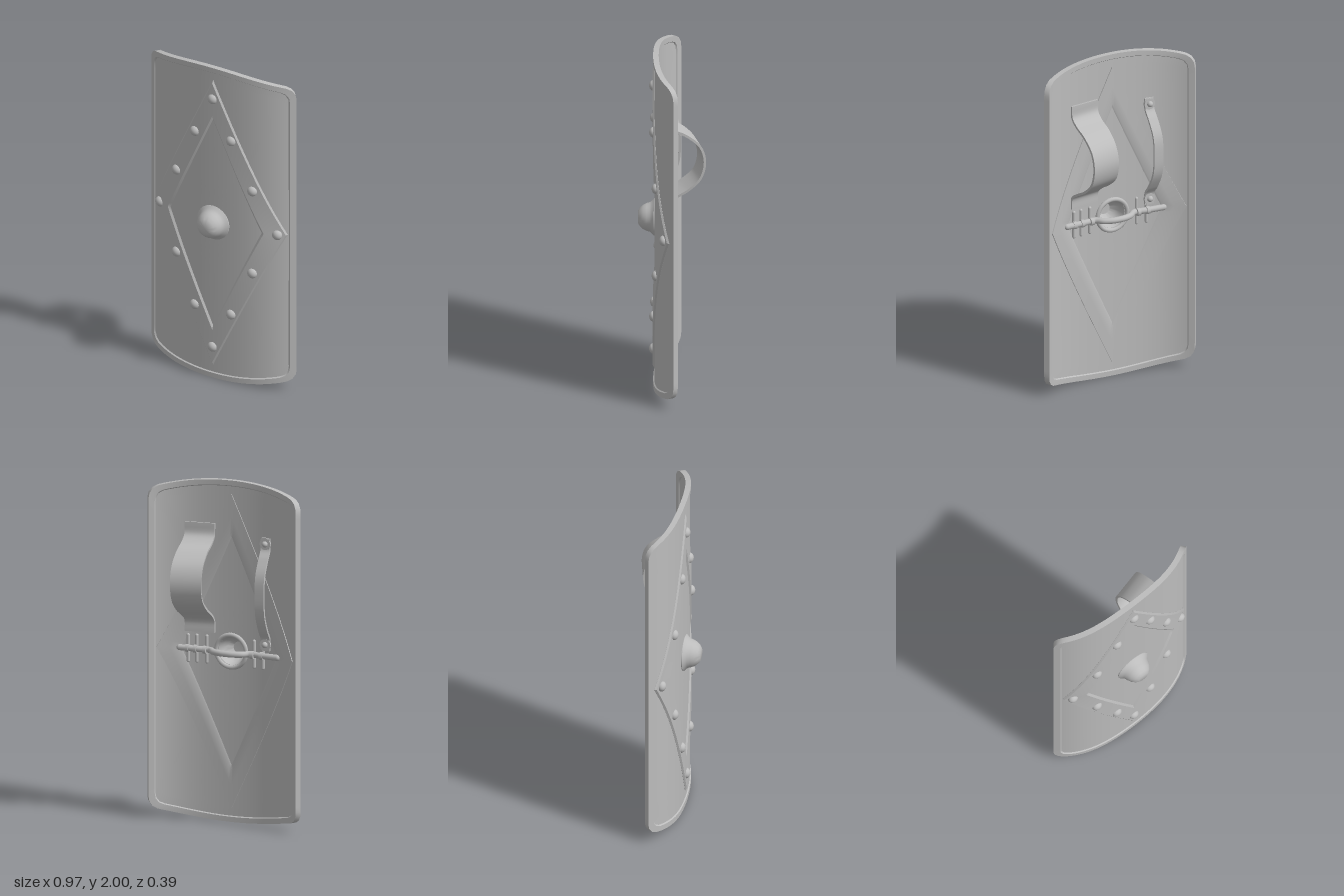
import * as THREE from 'three';
import { toCreasedNormals } from 'three/addons/utils/BufferGeometryUtils.js';

const V = (x, y, z) => new THREE.Vector3(x, y, z);

// Curved shield surface: depth at x, and a point lifted off it along its normal
const depth = (x) => 0.095 - 0.24 * x ** 2 - 1.3 * x ** 4;
function onShield(x, y, off) {
  const slope = -0.48 * x - 5.2 * x ** 3;
  const len = Math.hypot(slope, 1);
  return V(x - (slope / len) * off, y, depth(x) + off / len);
}

// Skin a list of closed loops; wrap joins the last loop to the first, otherwise ends are capped
function skin(rings, wrap) {
  const n = rings[0].length, pos = [], idx = [];
  rings.flat().forEach((p) => pos.push(p.x, p.y, p.z));
  const last = rings.length - 1;
  for (let k = 0; k < (wrap ? rings.length : last); k++) {
    const r0 = k * n, r1 = ((k + 1) % rings.length) * n;
    for (let i = 0; i < n; i++) {
      const j = (i + 1) % n;
      idx.push(r0 + i, r0 + j, r1 + j, r0 + i, r1 + j, r1 + i);
    }
  }
  if (!wrap) {
    for (let i = 1; i < n - 1; i++) {
      idx.push(0, i + 1, i, last * n, last * n + i, last * n + i + 1);
    }
  }
  const g = new THREE.BufferGeometry();
  g.setAttribute('position', new THREE.Float32BufferAttribute(pos, 3));
  g.setIndex(idx);
  return toCreasedNormals(g, 0.6);
}

// Rounded shield outline, inset by d
function outline(d) {
  const x = 0.477 - d, c = 0.42 - d * 0.4, h = 0.87 - d * 0.5, e = 0.95 - d, t = 0.935 - d;
  const s = new THREE.Shape();
  s.moveTo(x, -h).lineTo(x, h);
  s.quadraticCurveTo(x, t, c, e).quadraticCurveTo(0, 1.05 - d, -c, e);
  s.quadraticCurveTo(-x, t, -x, h).lineTo(-x, -h);
  s.quadraticCurveTo(-x, -t, -c, -e).quadraticCurveTo(0, -1.05 + d, c, -e);
  s.quadraticCurveTo(x, -t, x, -h);
  return s.getSpacedPoints(180).slice(0, 180);
}

// Diamond outline with half-width a and half-height b
function diamond(a, b) {
  const corners = [[a, 0], [0, b], [-a, 0], [0, -b]], pts = [];
  corners.forEach((p, k) => {
    const q = corners[(k + 1) % 4];
    for (let i = 0; i < 24; i++) {
      const t = i / 24;
      pts.push(new THREE.Vector2(p[0] + (q[0] - p[0]) * t, p[1] + (q[1] - p[1]) * t));
    }
  });
  return pts;
}

const lift = (pts, off) => pts.map((p) => onShield(p.x, p.y + 1, off));

// Bent strap; rows are [y, depth of inner edge, depth of outer edge]
function strap(rows, xa, xb, thick) {
  const edge = (x, i) => new THREE.CatmullRomCurve3(
    rows.map((r) => V(x + 0.09 * (r[i] - 0.07), r[0], r[i])));
  const ea = edge(xa, 1), eb = edge(xb, 2), rings = [];
  for (let k = 0; k <= 48; k++) {
    const t = k / 48, a = ea.getPoint(t), b = eb.getPoint(t);
    const n = b.clone().sub(a).cross(ea.getTangent(t)).normalize().multiplyScalar(thick / 2);
    rings.push([a.clone().add(n), b.clone().add(n), b.clone().sub(n), a.clone().sub(n)]);
  }
  return skin(rings, false);
}

export function createModel() {
  const group = new THREE.Group();
  const steel = new THREE.MeshStandardMaterial({ color: 0xbcbcbc });
  steel.name = 'grey steel';
  const add = (name, geo, x = 0, y = 0, z = 0) => {
    const m = new THREE.Mesh(geo, steel);
    m.name = name;
    m.position.set(x, y, z);
    group.add(m);
    return m;
  };

  // Panel with a round hole behind the boss
  const edge = outline(0.02);
  const hole = edge.map((p) => p.clone().setLength(0.085));
  const front = [], back = [];
  for (let k = 0; k <= 14; k++) {
    const loop = edge.map((p, i) => p.clone().lerp(hole[i], k / 14));
    front.push(lift(loop, 0.009));
    back.unshift(lift(loop, -0.009));
  }
  add('panel', skin([...front, ...back], true));

  // Raised rim
  const rimOuter = outline(0), rimInner = outline(0.03), rimFoot = outline(0.036);
  add('rim', skin([
    lift(rimOuter, 0.016), lift(rimInner, 0.016), lift(rimFoot, 0.008),
    lift(rimFoot, -0.008), lift(rimInner, -0.016), lift(rimOuter, -0.016),
  ], true));

  // Diamond frame, bevelled on its front edges
  const dOut = diamond(0.437, 0.92), dTop = diamond(0.428, 0.9);
  const dIn = diamond(0.315, 0.69), dFoot = diamond(0.3, 0.66);
  const dMid = dTop.map((p, i) => p.clone().lerp(dIn[i], 0.5));
  add('diamondFrame', skin([
    lift(dOut, 0.01), lift(dTop, 0.019), lift(dMid, 0.019), lift(dIn, 0.019), lift(dFoot, 0.007),
    lift(dFoot, -0.007), lift(dIn, -0.014), lift(dMid, -0.014), lift(dOut, -0.014),
  ], true));

  // Rivets round the frame
  const rivetGeo = new THREE.SphereGeometry(0.031, 20, 14);
  const spots = [[0, 0.8], [0, -0.8], [0.385, 0], [-0.385, 0]];
  for (const [x, y] of [[0.12, 0.56], [0.25, 0.265]]) {
    for (const sx of [1, -1]) for (const sy of [1, -1]) spots.push([sx * x, sy * y]);
  }
  for (const [x, y] of spots) {
    const p = onShield(x, y + 1, 0.014);
    add('rivet', rivetGeo, p.x, p.y, p.z).scale.z = 0.85;
  }

  // Hollow domed boss
  const profile = [
    [0.082, 0.085], [0.107, 0.085], [0.107, 0.106], [0.094, 0.118], [0.085, 0.13], [0.08, 0.147],
    [0.07, 0.168], [0.055, 0.186], [0.036, 0.198], [0, 0.198], [0, 0.186], [0.035, 0.184],
    [0.06, 0.16], [0.072, 0.13], [0.082, 0.085],
  ].map(([r, h]) => new THREE.Vector2(r, h));
  const boss = toCreasedNormals(new THREE.LatheGeometry(profile, 40), 0.6);
  boss.rotateX(Math.PI / 2);
  add('boss', boss, 0, 1, 0);
  add('bossRing', new THREE.TorusGeometry(0.095, 0.013, 10, 40), 0, 1, 0.08);

  // Hand grip bar arching over the hollow, with rounded ends
  const gripPath = new THREE.CatmullRomCurve3([
    [-0.31, 0.044], [-0.2, 0.05], [-0.125, 0.056], [-0.085, 0.022], [-0.04, 0.006], [0, 0.003],
    [0.04, 0.006], [0.085, 0.022], [0.125, 0.056], [0.2, 0.05], [0.31, 0.044],
  ].map(([x, z]) => V(x, 1, z)));
  add('handGrip', new THREE.TubeGeometry(gripPath, 80, 0.018, 12));
  for (const s of [1, -1]) add('gripEnd', new THREE.SphereGeometry(0.018, 12, 8), s * 0.31, 1, 0.044);

  // Vertical ties holding the grip
  const tieGeo = new THREE.CapsuleGeometry(0.01, 0.15, 4, 10);
  for (const x of [-0.21, -0.15, 0.15, 0.21, 0.26]) {
    add('gripTie', tieGeo, x, 1, depth(x) - 0.018);
    add('tieBand', new THREE.CylinderGeometry(0.023, 0.023, 0.02, 14), x, 1, 0.048).rotation.z = Math.PI / 2;
  }

  // Wide forearm strap
  add('armStrap', strap([
    [1.74, 0.075, 0.05], [1.67, 0.07, 0.045], [1.63, 0.03, 0], [1.59, -0.05, -0.085],
    [1.52, -0.12, -0.165], [1.43, -0.148, -0.19], [1.33, -0.125, -0.165], [1.26, -0.05, -0.095],
    [1.21, 0.03, -0.01], [1.17, 0.07, 0.045], [1.1, 0.075, 0.05],
  ], 0.1, 0.28, 0.014));

  // Narrow strap with a stud at each end
  add('narrowStrap', strap([
    [1.69, 0.064, 0.064], [1.62, 0.06, 0.06], [1.57, 0.025, 0.025], [1.48, -0.025, -0.025],
    [1.37, -0.036, -0.036], [1.25, -0.025, -0.025], [1.15, 0.025, 0.025], [1.1, 0.06, 0.06],
    [1.03, 0.064, 0.064],
  ], -0.255, -0.198, 0.014));
  for (const y of [1.655, 1.065]) {
    const disc = add('strapWasher', new THREE.CylinderGeometry(0.034, 0.034, 0.014, 20), -0.227, y, 0.06);
    disc.rotation.x = Math.PI / 2;
    add('strapStud', new THREE.SphereGeometry(0.018, 14, 10), -0.227, y, 0.051);
  }
  return group;
}
